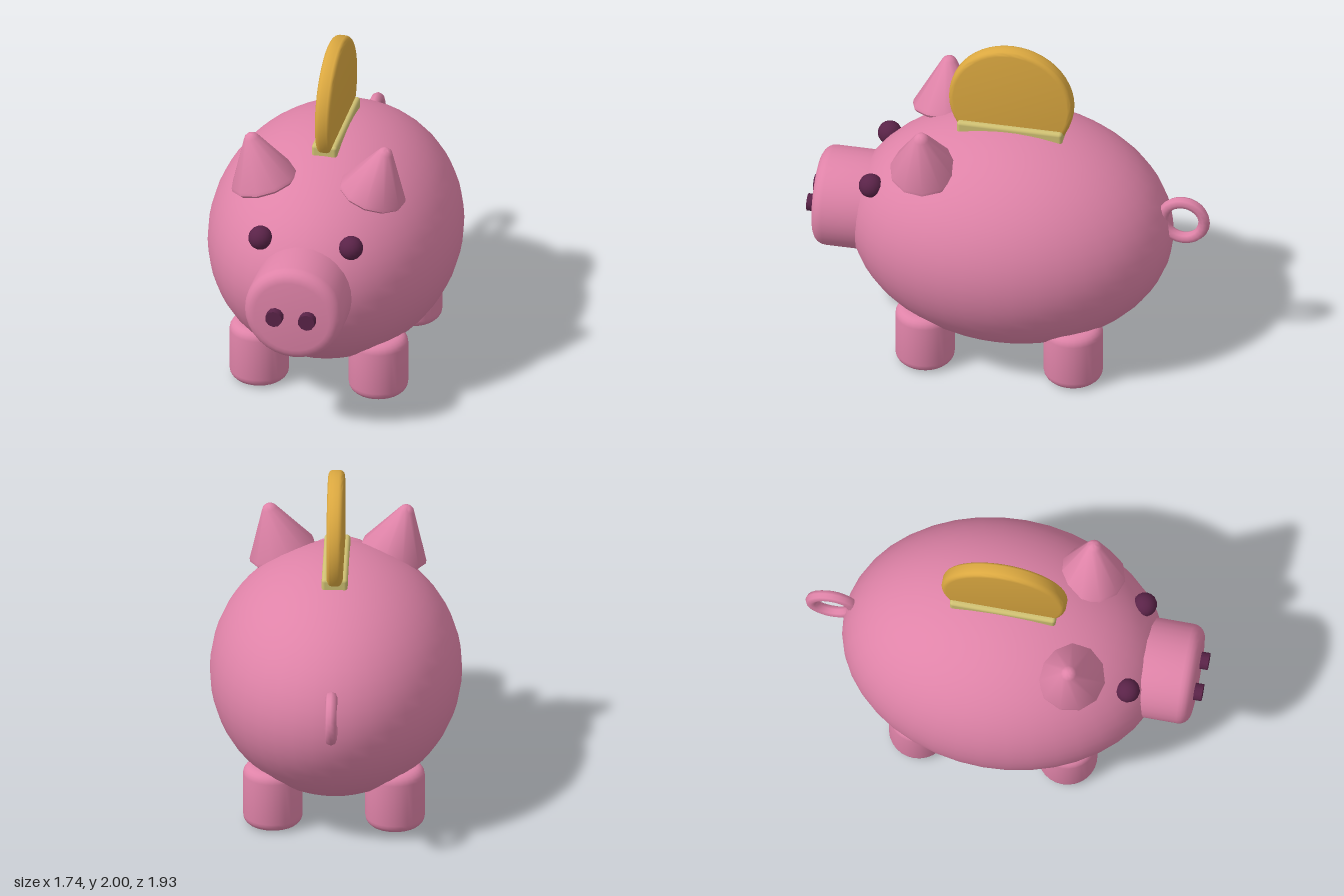
import * as THREE from 'three';
import { toCreasedNormals } from 'three/addons/utils/BufferGeometryUtils.js';
import { RoundedBoxGeometry } from 'three/addons/geometries/RoundedBoxGeometry.js';

const material = (name, color) => {
  const m = new THREE.MeshStandardMaterial({ color });
  m.name = name;
  return m;
};

// Turned solid from [radius, height] points, listed bottom to top
function turned(points, sides) {
  const profile = points.map(([r, y]) => new THREE.Vector2(r, y));
  return toCreasedNormals(new THREE.LatheGeometry(profile, sides), 0.75);
}

// Cylinder standing on y = 0 with rounded rims
function roundedCylinder(radius, height, bevel, sides) {
  const points = [[0, 0]];
  for (const [start, cy] of [[-Math.PI / 2, bevel], [0, height - bevel]]) {
    for (let i = 0; i <= 5; i++) {
      const a = start + (i / 5) * (Math.PI / 2);
      points.push([radius - bevel + bevel * Math.cos(a), cy + bevel * Math.sin(a)]);
    }
  }
  points.push([0, height]);
  return turned(points, sides);
}

export function createModel() {
  const pink = material('pink', 0xdf83a8);
  const plum = material('dark plum', 0x5a2348);
  const gold = material('gold', 0xdba840);
  const paleGold = material('pale gold', 0xcfc072);

  const model = new THREE.Group();
  model.name = 'piggyBank';

  // The pig faces local +z and is turned towards the front left
  const pig = new THREE.Group();
  pig.name = 'pig';
  pig.position.set(-0.05, 0, -0.062);
  pig.rotation.y = THREE.MathUtils.degToRad(40);
  model.add(pig);

  const add = (name, geometry, mat, x, y, z) => {
    const mesh = new THREE.Mesh(geometry, mat);
    mesh.name = name;
    mesh.position.set(x, y, z);
    pig.add(mesh);
    return mesh;
  };

  // Body
  const body = new THREE.SphereGeometry(1, 40, 28);
  body.scale(0.727, 0.685, 0.942);
  add('body', body, pink, 0, 0.775, 0);

  // Snout
  const snout = roundedCylinder(0.291, 0.45, 0.07, 32);
  snout.rotateX(Math.PI / 2);
  add('snout', snout, pink, 0, 0.81, 0.682);

  // Paired parts
  const leg = roundedCylinder(0.172, 0.365, 0.055, 28);
  const eye = new THREE.SphereGeometry(0.07, 16, 12);
  const nostril = new THREE.CylinderGeometry(0.05, 0.05, 0.12, 10);
  nostril.rotateX(Math.PI / 2);
  const ear = turned([
    [0, 0], [0.185, 0], [0.198, 0.015], [0.195, 0.035],
    [0.045, 0.3], [0.034, 0.317], [0.018, 0.327], [0, 0.33],
  ], 11);
  for (const side of [1, -1]) {
    const label = side > 0 ? 'left' : 'right';
    add(`${label}FrontLeg`, leg, pink, side * 0.352, 0, 0.436);
    add(`${label}BackLeg`, leg, pink, side * 0.352, 0, -0.436);
    add(`${label}Eye`, eye, plum, side * 0.268, 1.105, 0.773);
    add(`${label}Nostril`, nostril, plum, side * 0.097, 0.81, 1.12);
    add(`${label}Ear`, ear, pink, side * 0.314, 1.285, 0.45).rotation.z = -side * 0.28;
  }

  // Tail ring, upright along the pig's length
  const tail = new THREE.TorusGeometry(0.122, 0.034, 8, 24);
  tail.rotateY(Math.PI / 2);
  add('tail', tail, pink, 0, 0.935, -1.01);

  // Coin slot rim and the coin standing in it
  add('coinSlot', new RoundedBoxGeometry(0.15, 0.12, 0.62, 3, 0.02), paleGold, 0, 1.425, 0);
  const coin = roundedCylinder(0.365, 0.094, 0.03, 48);
  coin.translate(0, -0.047, 0);
  coin.rotateZ(Math.PI / 2);
  add('coin', coin, gold, 0, 1.635, 0);

  return model;
}
